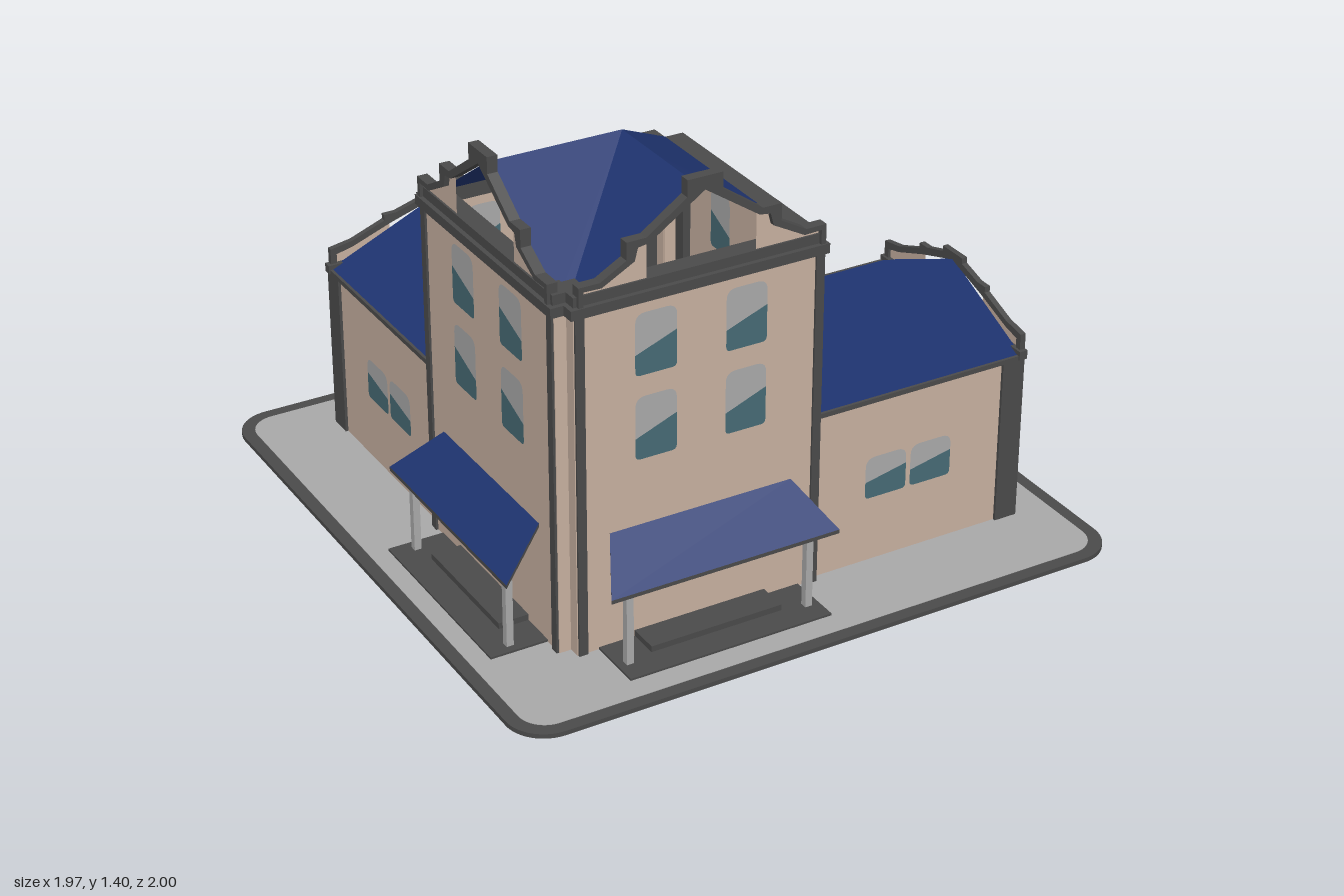
import * as THREE from 'three';

const material = (name, color) => new THREE.MeshStandardMaterial({ name, color, side: THREE.DoubleSide });

export function createModel() {
  const model = new THREE.Group();
  model.name = 'house';
  const wall = material('beige plaster', 0xc6af9f);
  const trim = material('dark trim', 0x4a4a4a);
  const roof = material('blue roof', 0x1f3470);
  const grey = material('grey', 0xa8a8a8);
  const glass = material('teal glass', 0x466a74);

  const put = (name, geo, mat) => {
    const mesh = new THREE.Mesh(geo, mat);
    mesh.name = name;
    model.add(mesh);
  };

  // The house is symmetric about the diagonal x = -z: add a part and its reflection
  const swap = new THREE.Matrix4().set(0, 0, -1, 0, 0, 1, 0, 0, -1, 0, 0, 0, 0, 0, 0, 1);
  const pair = (name, geo, mat) => {
    put(name, geo, mat);
    const g = geo.clone().applyMatrix4(swap);
    const index = g.index ? Array.from(g.index.array)
      : Array.from({ length: g.attributes.position.count }, (_, i) => i);
    for (let i = 0; i < index.length; i += 3) [index[i], index[i + 1]] = [index[i + 1], index[i]];
    g.setIndex(index);
    put(name + 'Mirrored', g, mat);
  };

  // Box from its bounds
  const box = (x0, x1, y0, y1, z0, z1) => new THREE.BoxGeometry(x1 - x0, y1 - y0, z1 - z0)
    .translate((x0 + x1) / 2, (y0 + y1) / 2, (z0 + z1) / 2);
  const poly = (pts) => new THREE.Shape(pts.map(([x, y]) => new THREE.Vector2(x, y)));
  const rect = (x0, x1, y0, y1) => poly([[x0, y0], [x1, y0], [x1, y1], [x0, y1]]);

  // Roof surface from corner points and triangles, with softly shaded edges
  const surface = (pts, index) => {
    const g = new THREE.BufferGeometry().setFromPoints(pts.map((p) => new THREE.Vector3(...p)));
    g.setIndex(index);
    g.computeVertexNormals();
    return g;
  };

  // Window outlines: lower glass and upper pane, together the whole opening
  const lower = (s, [x0, x1, y0], yl, yr) => {
    const r = 0.015;
    return s.moveTo(x0, yl).lineTo(x0, y0 + r).quadraticCurveTo(x0, y0, x0 + r, y0)
      .lineTo(x1 - r, y0).quadraticCurveTo(x1, y0, x1, y0 + r).lineTo(x1, yr);
  };
  const upper = (s, [x0, x1, , y1]) => {
    const r = 0.032;
    return s.lineTo(x1, y1 - r).quadraticCurveTo(x1, y1, x1 - r, y1)
      .lineTo(x0 + r, y1).quadraticCurveTo(x0, y1, x0, y1 - r);
  };

  // Wall sheet with windows set into it, turned about y and moved into place
  const facade = (name, shape, windows, turn, x, z, tl = 0.34, tr = 0.6) => {
    const place = (s) => new THREE.ShapeGeometry(s, 5).rotateY(turn).translate(x, 0, z);
    windows.forEach((w) => {
      const h = w[3] - w[2], yl = w[2] + h * tl, yr = w[2] + h * tr;
      shape.holes.push(upper(lower(new THREE.Path(), w, yl, yr), w));
      pair(name + 'Glass', place(lower(new THREE.Shape(), w, yl, yr)), glass);
      pair(name + 'UpperPane', place(upper(new THREE.Shape().moveTo(w[0], yl).lineTo(w[1], yr), w)), grey);
    });
    pair(name, place(shape), wall);
  };

  // Stepped gable with an open middle: thick coping and two side panels
  const gable = (name, outer, inner, open, base, centre, depth, turn, x, z) => {
    const flip = (p) => p.map(([u, y]) => [-u, y]);
    const place = (g) => g.translate(centre, 0, 0).rotateY(turn).translate(x, 0, z);
    const ring = [...outer, ...flip(outer).reverse(), ...flip(inner), ...inner.slice(0, -1).reverse()];
    const cope = new THREE.ExtrudeGeometry(poly(ring), { depth, bevelEnabled: false });
    pair(name + 'Coping', place(cope.translate(0, 0, -depth / 2)), trim);
    const side = [[open, base], ...inner.slice(0, -1)];
    for (const panel of [side, flip(side)]) {
      pair(name + 'Panel', place(new THREE.ShapeGeometry(poly(panel))), wall);
    }
  };

  // Ground slab: grey plate, dark rim band and grey paving
  const slab = (ax, az, r) => {
    const s = new THREE.Shape();
    s.absarc(ax - r, az - r, r, 0, Math.PI / 2);
    s.absarc(r - ax, az - r, r, Math.PI / 2, Math.PI);
    s.absarc(r - ax, r - az, r, Math.PI, Math.PI * 1.5);
    s.absarc(ax - r, r - az, r, Math.PI * 1.5, Math.PI * 2);
    return s;
  };
  const flat = (s, depth, y) => new THREE.ExtrudeGeometry(s, { depth, bevelEnabled: false, curveSegments: 8 })
    .rotateX(-Math.PI / 2).translate(0, y, 0);
  put('groundPlate', flat(slab(0.983, 0.998, 0.12), 0.002, 0), grey);
  put('groundRim', flat(slab(0.985, 1, 0.12), 0.014, 0.001), trim);
  put('groundPaving', flat(slab(0.945, 0.96, 0.085), 0.003, 0.0135), grey);

  // Main block: notched footprint as [x, z, outward x, outward z]
  const plan = [[-0.665, 0.705, -1, 1], [0.105, 0.705, 1, 1], [0.105, -0.045, 1, -1], [0.045, -0.045, 1, -1],
    [0.045, -0.105, 1, -1], [-0.705, -0.105, -1, -1], [-0.705, 0.665, -1, 1], [-0.665, 0.665, -1, 1]];
  const outline = (d) => poly(plan.map(([x, z, sx, sz]) => [x + sx * d, -(z + sz * d)]));
  const ringBand = (out, inn, y, h) => {
    const s = outline(out);
    s.holes.push(outline(inn));
    return flat(s, h, y);
  };
  put('cornice', ringBand(0.018, -0.025, 1.08, 0.03), trim);
  put('eaveBand', ringBand(0.004, -0.055, 1.11, 0.03), trim);

  // Main walls; the side wall opens into the wing
  const bays = [[-0.48, -0.35], [-0.195, -0.065]];
  facade('frontWall', rect(-0.665, 0.105, 0.015, 1.11),
    bays.flatMap(([a, b]) => [[a, b, 0.59, 0.785], [a, b, 0.85, 1.04]]), 0, 0, 0.705);
  const side = rect(-0.705, 0.045, 0.015, 1.11);
  side.holes.push(poly([[-0.68, 0.02], [0.01, 0.02], [0.01, 0.55], [-0.335, 0.705], [-0.68, 0.55]]));
  facade('sideWall', side, [[-0.57, -0.465, 0.85, 1.04], [-0.225, -0.12, 0.85, 1.04]], Math.PI / 2, 0.105, 0);
  pair('frontNotchWall', box(-0.668, -0.662, 0.015, 1.11, 0.662, 0.705), wall);
  pair('innerNotchWall', box(0.045, 0.105, 0.015, 1.11, -0.047, -0.042), wall);
  pair('frontLeftPost', box(-0.665, -0.637, 0.015, 1.08, 0.68, 0.712), trim);
  pair('frontRightPost', box(0.088, 0.115, 0.015, 1.08, 0.675, 0.712), trim);
  pair('innerPost', box(0.08, 0.115, 0.015, 1.08, -0.04, 0.003), trim);

  gable('mainGable',
    [[0.385, 1.11], [0.385, 1.17], [0.32, 1.17], [0.24, 1.215], [0.24, 1.268], [0.18, 1.268], [0.055, 1.355], [0.055, 1.405]],
    [[0.37, 1.11], [0.37, 1.155], [0.315, 1.153], [0.215, 1.207], [0.205, 1.245], [0.17, 1.25], [0, 1.365]],
    0.17, 1.11, -0.273, 0.032, 0, 0, 0.703);

  // Main roof: two crossing ridges with a soft hip outside and a sharp valley inside
  const peak = [-0.275, 1.365, 0.275];
  const ridge = [-0.275, 1.365, 0.69];
  put('mainRoofOuterSlopes', surface([peak, ridge, [0.05, 1.14, 0.69], [0.05, 1.14, -0.05],
    [-0.69, 1.14, -0.05], [-0.69, 1.365, 0.275]], [0, 1, 2, 0, 2, 3, 0, 3, 4, 0, 4, 5]), roof);
  pair('mainRoofInnerSlope', surface([peak, [-0.655, 1.1, 0.655], [-0.655, 1.1, 0.69], ridge],
    [0, 1, 2, 0, 2, 3]), roof);

  // Wing walls
  const wingWindows = [[0.29, 0.43, 0.225, 0.36], [0.445, 0.585, 0.225, 0.36]];
  facade('wingFrontWall', rect(0.105, 0.82, 0.015, 0.555), wingWindows, 0, 0, 0.688, 0.4, 0.62);
  facade('wingBackWall', rect(-0.82, -0.105, 0.015, 0.555),
    wingWindows.map(([a, b, c, d]) => [-b, -a, c, d]), Math.PI, 0, -0.018, 0.4, 0.62);
  const rows = [[0.05, 0.18], [0.225, 0.36], [0.395, 0.52]];
  facade('wingEndWall', rect(-0.688, 0.018, 0.015, 0.575),
    rows.flatMap(([c, d]) => [[-0.525, -0.44, c, d], [-0.245, -0.16, c, d]]), Math.PI / 2, 0.822, 0, 0.45, 0.7);

  // Wing corner posts and eaves
  for (const [z0, z1] of [[0.62, 0.697], [-0.027, 0.06]]) {
    pair('wingCornerPost', box(0.755, 0.83, 0.015, 0.55, z0, z1), trim);
  }
  for (const z of [0.688, -0.018]) pair('wingEave', box(0.105, 0.83, 0.545, 0.56, z - 0.009, z + 0.009), trim);
  pair('wingEndCornice', box(0.808, 0.835, 0.547, 0.575, -0.03, 0.702), trim);
  gable('wingGable',
    [[0.355, 0.572], [0.355, 0.625], [0.28, 0.638], [0.17, 0.68], [0.17, 0.698], [0.13, 0.698], [0.05, 0.722], [0.05, 0.74]],
    [[0.335, 0.572], [0.335, 0.605], [0.28, 0.618], [0.15, 0.667], [0, 0.715]],
    0.15, 0.572, -0.335, 0.018, Math.PI / 2, 0.825, 0);

  // Wing roof, shaded as one even surface across the ridge
  const wingRoof = surface([[0.105, 0.56, 0.688], [0.82, 0.56, 0.688], [0.105, 0.717, 0.335], [0.82, 0.717, 0.335],
    [0.105, 0.56, -0.018], [0.82, 0.56, -0.018]], [0, 1, 3, 0, 3, 2, 2, 3, 5, 2, 5, 4]);
  for (let i = 0; i < 6; i++) wingRoof.attributes.normal.setXYZ(i, 0, 1, 0);
  pair('wingRoof', wingRoof, roof);

  // Entrance canopy: a thin slab, wider and lower towards its outer edge
  const canopy = new THREE.BoxGeometry(1, 0.012, 1);
  const p = canopy.attributes.position;
  for (let i = 0; i < p.count; i++) {
    const outer = p.getZ(i) > 0;
    p.setXYZ(i, -0.271 + p.getX(i) * (outer ? 0.736 : 0.585),
      (outer ? 0.264 : 0.379) + p.getY(i), outer ? 0.85 : 0.707);
  }
  canopy.computeVertexNormals();
  pair('canopyRoof', canopy, [trim, trim, roof, trim, trim, trim]);

  // Canopy posts, platform and step
  for (const x of [-0.565, 0.018]) {
    pair('canopyPost', box(x - 0.011, x + 0.011, 0.02, 0.282, 0.8, 0.822), grey);
  }
  pair('entrancePlatform', box(-0.6, 0.055, 0.012, 0.023, 0.7, 0.885), trim);
  pair('entranceStep', box(-0.485, -0.06, 0.02, 0.042, 0.7, 0.8), trim);

  return model;
}
